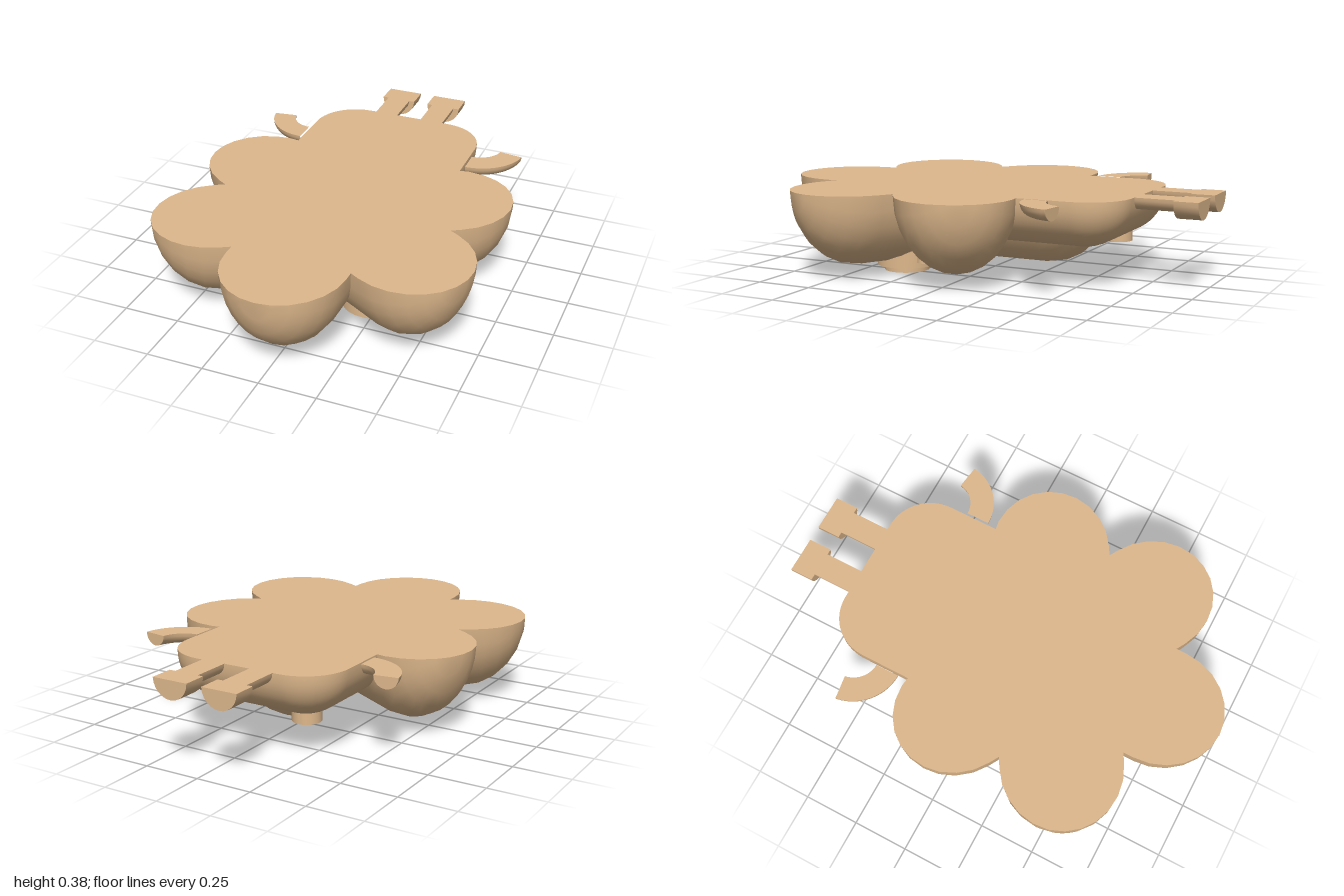
import * as THREE from 'three';
import { toCreasedNormals } from 'three/addons/utils/BufferGeometryUtils.js';
import { RoundedBoxGeometry } from 'three/addons/geometries/RoundedBoxGeometry.js';

const CUT = 0.383; // flat back plane of the relief

export function createModel() {
  const group = new THREE.Group();
  const material = new THREE.MeshStandardMaterial({ color: 0xdeb88c });

  // flatten everything above the cut plane, then shade with crisp edges
  function add(name, geometry) {
    const p = geometry.attributes.position;
    for (let i = 0; i < p.count; i++) {
      if (p.getY(i) > CUT - 1e-5) p.setY(i, CUT);
    }
    const mesh = new THREE.Mesh(toCreasedNormals(geometry, 0.7), material);
    mesh.name = name;
    group.add(mesh);
    return mesh;
  }

  const disc = (name, r, y0, y1, x, z, sides = 28) =>
    add(name, new THREE.CylinderGeometry(r, r, y1 - y0, sides).translate(x, (y0 + y1) / 2, z));

  const rod = (name, r, z0, z1, x) =>
    add(name, new THREE.CylinderGeometry(r, r, z1 - z0, 24)
      .rotateX(Math.PI / 2).translate(x, CUT, (z0 + z1) / 2));

  // open ring lying flat; angles run from +x towards +z
  function arcBand(name, rIn, rOut, a0, a1, y0, y1, x, z) {
    const s = new THREE.Shape();
    s.absarc(0, 0, rOut, a0, a1, false);
    s.absarc(0, 0, rIn, a1, a0, true);
    const g = new THREE.ExtrudeGeometry(s, { depth: y1 - y0, bevelEnabled: false, curveSegments: 20 });
    return add(name, g.rotateX(Math.PI / 2).translate(x, y1, z));
  }

  // flower head: three long pods crossing at the centre give six petals
  for (let i = 0; i < 3; i++) {
    add('petalPair', new THREE.CapsuleGeometry(1, 1 / 0.28, 6, 28)
      .rotateX(Math.PI / 2)
      .scale(0.262, 0.333, 0.28)
      .rotateY((i * Math.PI) / 3)
      .translate(0, CUT, 0.22));
  }

  // body
  add('body', new RoundedBoxGeometry(0.8, 0.426, 0.82, 7, 0.2).translate(0, CUT, -0.31));

  for (const s of [1, -1]) {
    const side = s > 0 ? 'left' : 'right';
    // stepped eyes and cheek studs
    disc(side + 'EyeRim', 0.132, 0.025, 0.2, s * 0.222, 0.332);
    disc(side + 'Eye', 0.1, 0, 0.06, s * 0.222, 0.332);
    disc(side + 'Cheek', 0.033, 0.06, 0.18, s * 0.33, 0.18, 18);

    // curved arms
    const arm = new THREE.TorusGeometry(0.163, 0.053, 24, 14, 1.43)
      .rotateX(Math.PI / 2)
      .rotateY(-0.14);
    // close the hand end with a thin disc
    const hand = new THREE.CylinderGeometry(0.053, 0.053, 0.004, 24)
      .rotateX(Math.PI / 2).translate(0.163, 0, 0.002).rotateY(-0.14);
    for (const [name, g] of [['Arm', arm], ['Hand', hand]]) {
      g.translate(0.41, CUT, -0.55);
      if (s < 0) {
        // mirror and restore the corner order
        g.scale(-1, 1, 1);
        const idx = g.index.array;
        for (let i = 0; i < idx.length; i += 3) [idx[i], idx[i + 1]] = [idx[i + 1], idx[i]];
      }
      add(side + name, g);
    }

    // legs and feet
    rod(side + 'Leg', 0.055, -0.92, -0.65, s * 0.116);
    rod(side + 'Foot', 0.082, -1, -0.895, s * 0.117);

    // nostrils
    disc(side + 'Nostril', 0.017, 0.035, 0.1, s * 0.03, 0.18, 14);
  }

  // nose bridge and smile
  add('noseBridge', new THREE.BoxGeometry(0.06, 0.06, 0.014).translate(0, 0.068, 0.18));
  arcBand('smile', 0.045, 0.068, Math.PI * 0.82, Math.PI * 2.18, 0.035, 0.12, 0, 0.087);

  // round badge on one side of the body
  arcBand('badgeRim', 0.042, 0.063, 0, Math.PI * 1.9999, 0.13, 0.21, -0.2, -0.515);
  disc('badgeBase', 0.045, 0.155, 0.21, -0.2, -0.515);
  add('badgeBar', new THREE.BoxGeometry(0.085, 0.04, 0.018).translate(-0.2, 0.155, -0.515));

  return group;
}
